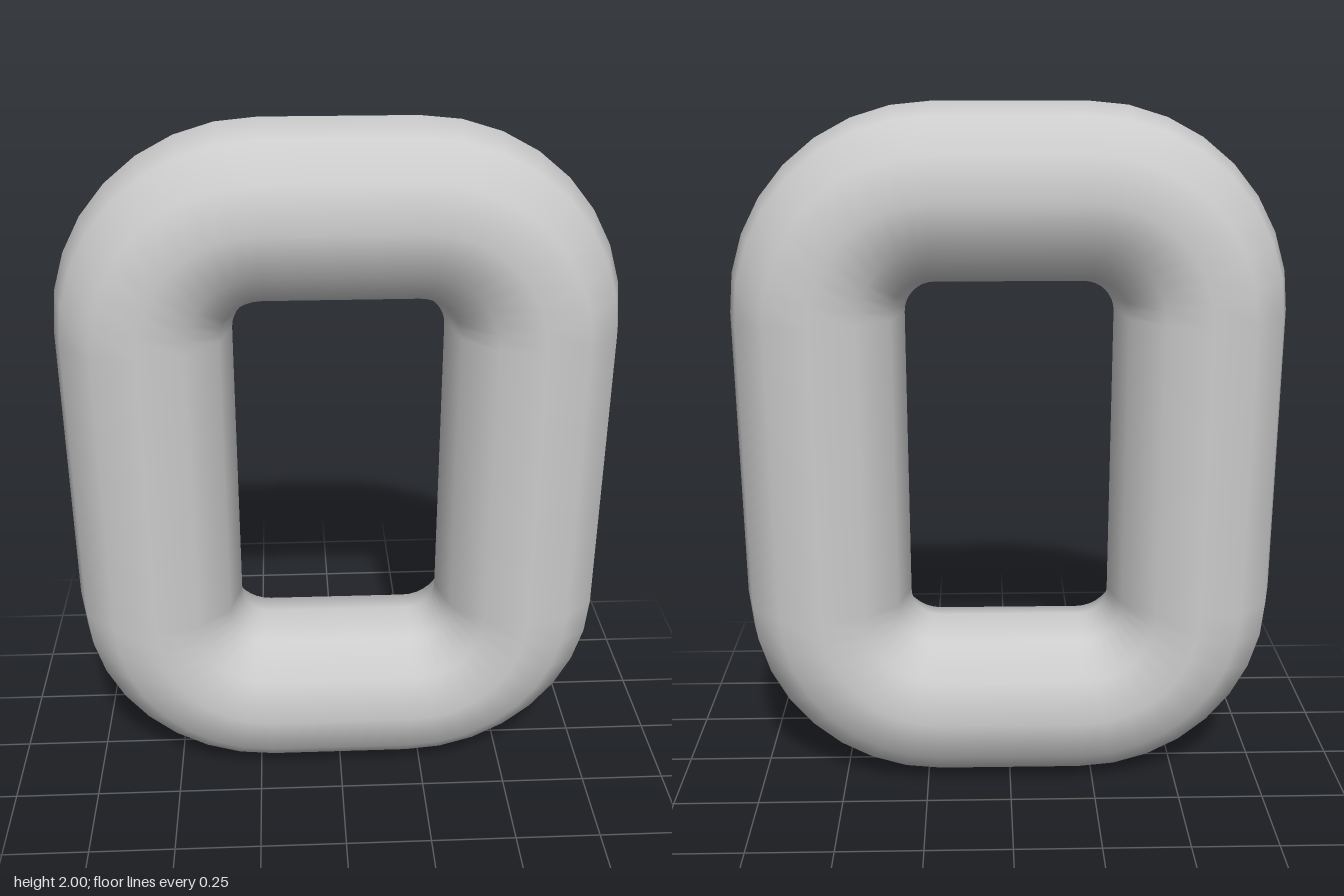
import * as THREE from 'three';

const SIDES = 12;        // sides of the round section
const STEPS = 8;         // segments per corner bend
const TUBE = 0.245;      // section radius
const BEND = 0.33;       // bend radius of the centre line
const CX = 0.21, CY = 0.425; // bend centres, measured from the middle

// Closed rounded-rectangle ring swept by a round section
function linkGeometry() {
  const pos = [], nor = [], index = [];
  for (let corner = 0; corner < 4; corner++) {
    const cx = corner === 0 || corner === 3 ? CX : -CX;
    const cy = 1 + (corner < 2 ? CY : -CY);
    for (let s = 0; s <= STEPS; s++) {
      const t = (corner + s / STEPS) * Math.PI / 2;
      const ct = Math.cos(t), st = Math.sin(t);
      for (let j = 0; j < SIDES; j++) {
        const p = j / SIDES * Math.PI * 2;
        const r = BEND + TUBE * Math.cos(p);
        pos.push(cx + r * ct, cy + r * st, TUBE * Math.sin(p));
        nor.push(Math.cos(p) * ct, Math.cos(p) * st, Math.sin(p));
      }
    }
  }
  // Join each section to the next; the gaps between corners become the straight bars
  const rings = 4 * (STEPS + 1);
  for (let i = 0; i < rings; i++) {
    for (let j = 0; j < SIDES; j++) {
      const i2 = (i + 1) % rings, j2 = (j + 1) % SIDES;
      const a = i * SIDES + j, b = i2 * SIDES + j;
      const c = i2 * SIDES + j2, d = i * SIDES + j2;
      index.push(a, b, c, a, c, d);
    }
  }
  const geo = new THREE.BufferGeometry();
  geo.setAttribute('position', new THREE.Float32BufferAttribute(pos, 3));
  geo.setAttribute('normal', new THREE.Float32BufferAttribute(nor, 3));
  geo.setIndex(index);
  return geo;
}

export function createModel() {
  const group = new THREE.Group();
  group.name = 'chainLink';
  const ring = new THREE.Mesh(linkGeometry(), new THREE.MeshStandardMaterial({ color: 0xcccccc }));
  ring.name = 'linkRing';
  group.add(ring);
  return group;
}
